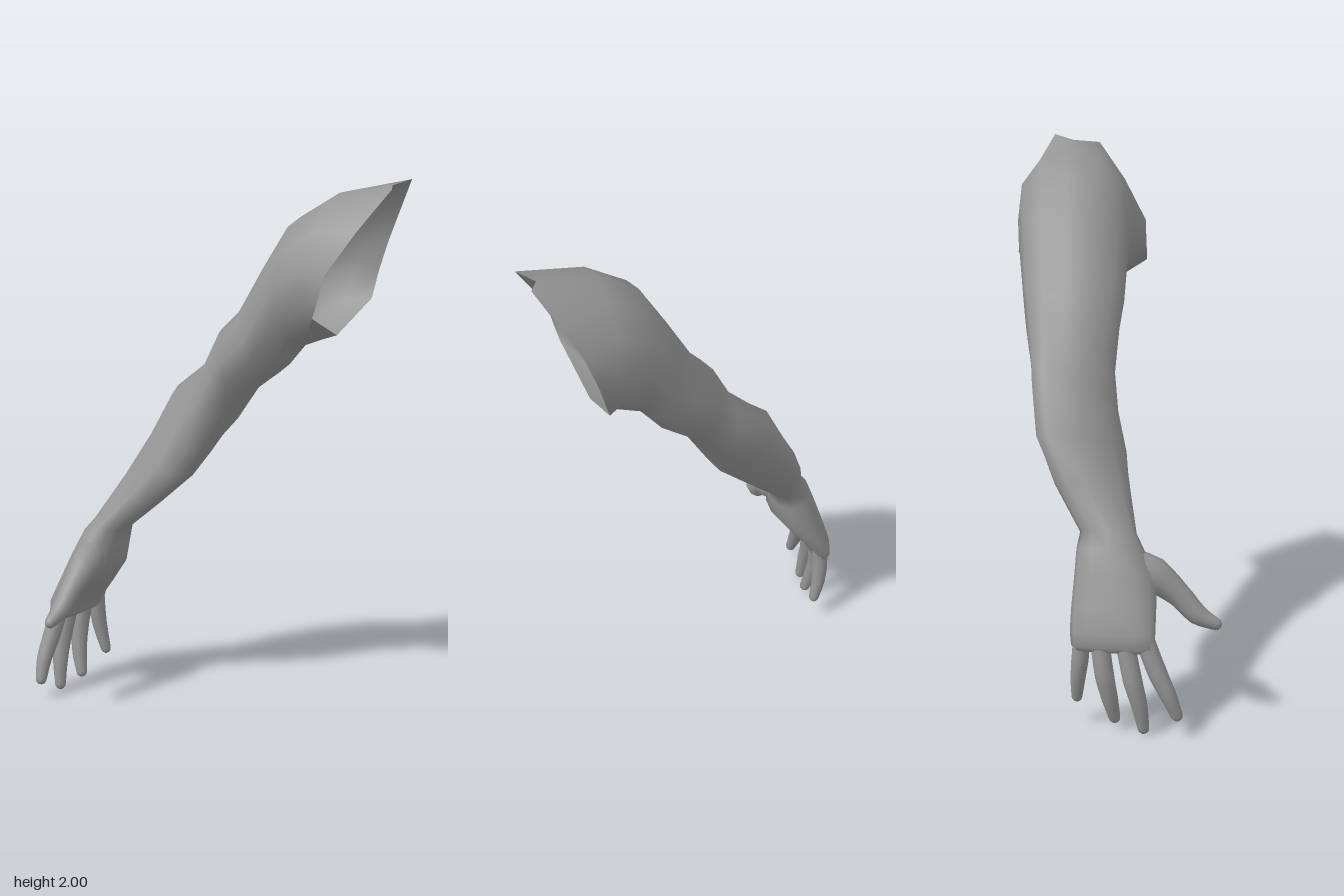
import * as THREE from 'three';

const V = (x, y, z) => new THREE.Vector3(x, y, z);
const material = new THREE.MeshStandardMaterial({ color: 0x969696, side: THREE.DoubleSide });

// Skins a list of rings (equal numbers of points) with smooth normals; the last ring is closed.
function loft(name, rings) {
  const n = rings[0].length;
  const points = rings.flat();
  const index = [];
  for (let i = 0; i < rings.length - 1; i++) {
    for (let j = 0; j < n; j++) {
      const a = i * n + j, b = i * n + (j + 1) % n;
      index.push(a, b, a + n, b, b + n, a + n);
    }
  }
  const last = rings[rings.length - 1];
  const start = points.length - n;
  for (let j = 0; j < n; j++) index.push(start + j, start + (j + 1) % n, points.length);
  points.push(last.reduce((s, p) => s.add(p), V(0, 0, 0)).divideScalar(n));
  const geometry = new THREE.BufferGeometry().setFromPoints(points);
  geometry.setIndex(index);
  geometry.computeVertexNormals();
  const mesh = new THREE.Mesh(geometry, material);
  mesh.name = name;
  return mesh;
}

// Closed curve around a centre; a power below 1 makes it boxier.
function ring(centre, u, w, sides, power = 1) {
  return Array.from({ length: sides }, (_, i) => {
    const t = (i / sides) * Math.PI * 2;
    const bend = (v) => Math.sign(v) * Math.pow(Math.abs(v) < 1e-9 ? 0 : Math.abs(v), power);
    return centre.clone().addScaledVector(u, bend(Math.cos(t))).addScaledVector(w, bend(Math.sin(t)));
  });
}

// Arm section from its outer and inner edge points, depth range, slant, forward lean of the outer edge and boxiness.
function section([ax, ay, bx, by, zMin, zMax, slant = 0, lean = 0, power = 0.97]) {
  const u = V((ax - bx) / 2, (ay - by) / 2, 0);
  const w = V(0, 0, (zMin - zMax) / 2).addScaledVector(u, slant);
  u.z = lean;
  return ring(V((ax + bx) / 2, (ay + by) / 2, (zMin + zMax) / 2), u, w, 12, power);
}

// Tapered finger with a rounded tip, along a curve.
function finger(name, path, radii) {
  const curve = new THREE.CatmullRomCurve3(path.map((p) => V(...p)));
  const steps = 12, sides = 10, rings = [];
  const place = (t, radius, push = 0) => {
    const tangent = curve.getTangent(t);
    const w = tangent.clone().cross(V(1, 0, 0)).normalize();
    const u = w.clone().cross(tangent).normalize();
    const centre = curve.getPoint(t).addScaledVector(tangent, push);
    rings.push(ring(centre, u.multiplyScalar(radius), w.multiplyScalar(radius), sides));
  };
  const radiusAt = (t) => {
    const f = t * (radii.length - 1), i = Math.min(Math.floor(f), radii.length - 2);
    return THREE.MathUtils.lerp(radii[i], radii[i + 1], f - i);
  };
  for (let i = 0; i <= steps; i++) place(i / steps, radiusAt(i / steps));
  const tip = radii[radii.length - 1];
  for (const a of [0.5, 0.95, 1.3]) place(1, tip * Math.cos(a), tip * Math.sin(a));
  return loft(name, rings);
}

export function createModel() {
  const group = new THREE.Group();
  group.name = 'arm';

  // Open, slanted cut at the shoulder
  const shoulder = [
    [0.60, 1.98, -0.23], [0.64, 2.0, -0.31], [0.57, 1.88, -0.37], [0.51, 1.77, -0.415],
    [0.47, 1.66, -0.425], [0.44, 1.55, -0.43], [0.42, 1.44, -0.17], [0.44, 1.53, 0.08],
    [0.46, 1.60, 0.075], [0.48, 1.68, 0.07], [0.56, 1.83, -0.02], [0.64, 1.97, -0.13],
  ].map((p) => V(...p));

  // Upper arm, elbow, forearm, wrist and palm
  const sections = [
    [0.40, 1.95, 0.36, 1.42, -0.42, 0.04, 0, -0.03],
    [0.25, 1.86, 0.28, 1.39, -0.40, 0.025, 0, -0.02],
    [0.15, 1.70, 0.24, 1.34, -0.38, 0.025, 0, -0.02],
    [0.05, 1.53, 0.20, 1.29, -0.36, 0.022, 0, -0.02],
    [-0.03, 1.45, 0.08, 1.20, -0.335, 0.015, 0, -0.02],
    [-0.10, 1.32, 0.00, 1.07, -0.305, 0.005, 0, -0.03],
    [-0.25, 1.20, -0.06, 0.97, -0.275, 0.025, 0.15, -0.04],
    [-0.35, 1.01, -0.12, 0.88, -0.245, 0.06, 0.25, -0.04],
    [-0.42, 0.86, -0.24, 0.77, -0.175, 0.09, 0.25, -0.02],
    [-0.49, 0.70, -0.37, 0.655, -0.075, 0.125, 0, 0, 0.95],
    [-0.53, 0.65, -0.38, 0.60, -0.085, 0.155, 0, 0, 0.95],
    [-0.565, 0.56, -0.395, 0.51, -0.09, 0.20, 0, 0, 0.9],
    [-0.605, 0.45, -0.47, 0.42, -0.095, 0.205, -0.15, 0, 0.82],
    [-0.63, 0.37, -0.535, 0.35, -0.095, 0.206, -0.3, 0, 0.77],
    [-0.632, 0.32, -0.545, 0.31, -0.09, 0.206, -0.3, 0, 0.77],
    [-0.615, 0.30, -0.56, 0.295, -0.08, 0.196, -0.3, 0, 0.77],
  ];
  group.add(loft('armAndPalm', [shoulder, ...sections.map(section)]));

  // Fingers and thumb
  const taper = [0.034, 0.034, 0.029, 0.021];
  group.add(
    finger('indexFinger', [[-0.588, 0.37, 0.16], [-0.605, 0.23, 0.216], [-0.612, 0.15, 0.255], [-0.608, 0.078, 0.284]], taper),
    finger('middleFinger', [[-0.588, 0.36, 0.095], [-0.61, 0.2, 0.13], [-0.608, 0.11, 0.153], [-0.6, 0.022, 0.167]], taper),
    finger('ringFinger', [[-0.58, 0.36, 0.008], [-0.597, 0.21, 0.03], [-0.588, 0.12, 0.048], [-0.57, 0.045, 0.062]], taper),
    finger('littleFinger', [[-0.568, 0.37, -0.05], [-0.568, 0.25, -0.06], [-0.56, 0.18, -0.068], [-0.543, 0.107, -0.074]], [0.031, 0.031, 0.027, 0.02]),
    finger('thumb', [[-0.472, 0.61, 0.065], [-0.457, 0.54, 0.185], [-0.46, 0.467, 0.278], [-0.466, 0.4, 0.343], [-0.468, 0.367, 0.408]], [0.045, 0.062, 0.043, 0.037, 0.022]),
  );
  return group;
}
